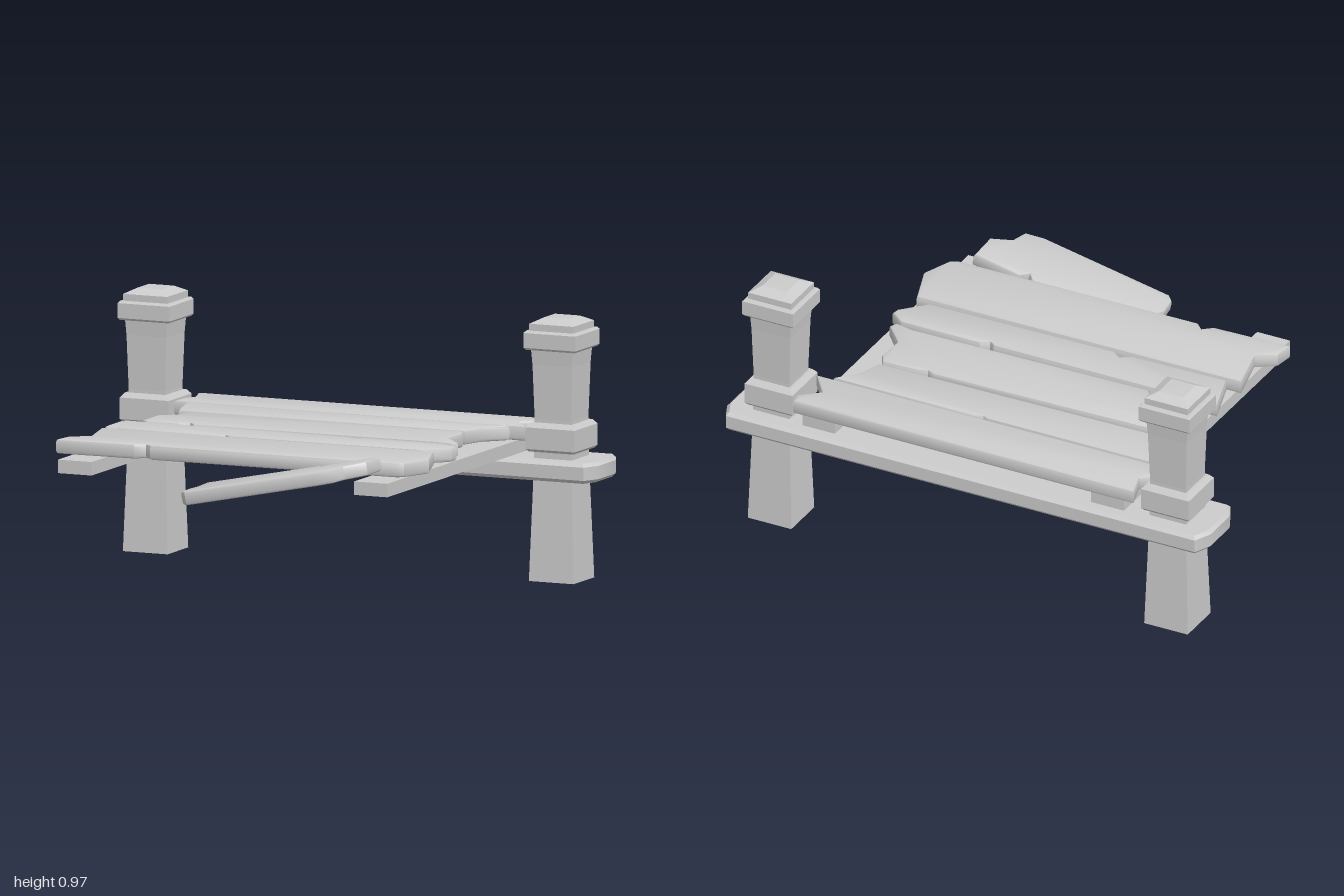
import * as THREE from 'three';
import { toCreasedNormals } from 'three/addons/utils/BufferGeometryUtils.js';

const smooth = new THREE.MeshStandardMaterial({ color: 0xcccccc });
const flat = new THREE.MeshStandardMaterial({ color: 0xcccccc, flatShading: true });

function add(parent, name, geometry, material = smooth) {
  const mesh = new THREE.Mesh(geometry, material);
  mesh.name = name;
  parent.add(mesh);
  return mesh;
}

// Lays an [x, z] outline flat as a slab with softened edges, between y = bottom and y = top.
function slab(outline, bottom, top, bevel, segments) {
  const shape = new THREE.Shape(outline.map(([x, z]) => new THREE.Vector2(x, z)));
  const geometry = new THREE.ExtrudeGeometry(shape, {
    depth: top - bottom - 2 * bevel,
    bevelThickness: bevel, bevelSize: bevel, bevelOffset: -bevel, bevelSegments: segments,
  });
  geometry.rotateX(Math.PI / 2).translate(0, top - bevel, 0);
  return toCreasedNormals(geometry, 0.6);
}

// Square solid from [half width, y] steps.
function squareTurned(profile) {
  const points = profile.map(([half, y]) => new THREE.Vector2(half * Math.SQRT2, y));
  return new THREE.LatheGeometry(points, 4).rotateY(Math.PI / 4).toNonIndexed();
}

const postParts = {
  shaft: [[0, 0], [0.09, 0], [0.077, 0.4], [0.074, 0.6], [0.077, 0.7], [0.08, 0.8], [0.085, 0.87], [0, 0.87]],
  collar: [[0, 0.48], [0.09, 0.48], [0.099, 0.49], [0.099, 0.57], [0.085, 0.587], [0, 0.587]],
  cap: [[0, 0.857], [0.098, 0.857], [0.105, 0.865], [0.105, 0.92], [0.098, 0.928], [0.089, 0.928],
    [0.089, 0.953], [0.05, 0.973], [0, 0.974]],
};

// Broken board outlines, [x, z], clockwise from the back left corner.
const boards = [
  [[-0.71, -0.74], [0.70, -0.74], [0.71, -0.69], [0.64, -0.63], [0.715, -0.53], [-0.71, -0.53], [-0.71, -0.61], [-0.68, -0.64]],
  [[-0.655, -0.52], [0.01, -0.52], [0.035, -0.51], [0.06, -0.52], [0.65, -0.52], [0.58, -0.44], [0.55, -0.35],
    [-0.60, -0.335], [-0.625, -0.40]],
  [[-0.545, -0.305], [0.34, -0.325], [0.37, -0.31], [0.40, -0.325], [0.545, -0.335], [0.57, -0.29], [0.565, -0.18], [0.645, -0.09],
    [0.63, -0.06], [0.56, -0.075], [-0.41, -0.06], [-0.44, -0.095], [-0.47, -0.06], [-0.60, -0.055], [-0.625, -0.08],
    [-0.625, -0.20], [-0.57, -0.24]],
  [[-0.685, -0.04], [0.24, -0.04], [0.265, -0.02], [0.295, -0.045], [0.62, -0.045], [0.68, 0], [0.675, 0.03],
    [0.59, 0.12], [-0.17, 0.13], [-0.205, 0.105], [-0.25, 0.13], [-0.63, 0.135]],
  [[-0.685, 0.15], [0.655, 0.14], [0.715, 0.31], [0.67, 0.43], [0.64, 0.445], [-0.345, 0.455], [-0.375, 0.425],
    [-0.41, 0.455], [-0.72, 0.465], [-0.71, 0.39], [-0.64, 0.34]],
];
const fallenBoard = [[-0.35, -0.135], [0.12, -0.135], [0.145, -0.105], [0.17, -0.14], [0.36, -0.14], [0.365, -0.01],
  [0.295, 0.04], [0.28, 0.11], [0.21, 0.13], [-0.315, 0.135], [-0.34, 0.11], [-0.35, 0.03], [-0.335, 0]];

export function createModel() {
  const model = new THREE.Group();
  model.name = 'brokenDock';

  // Posts
  for (const side of [-1, 1]) {
    const post = new THREE.Group();
    post.name = side > 0 ? 'leftPost' : 'rightPost';
    post.position.set(side * 0.82 - 0.002, 0, -0.612);
    for (const [name, profile] of Object.entries(postParts)) add(post, name, squareTurned(profile), flat);
    model.add(post);
  }

  // Cross beam with clipped corners
  const beam = [[-0.97, -0.757], [0.97, -0.757], [1, -0.69], [1, -0.54], [0.97, -0.477],
    [-0.97, -0.477], [-1, -0.54], [-1, -0.69]];
  add(model, 'crossBeam', slab(beam, 0.38, 0.455, 0.013, 1));

  // Rails under the boards
  for (const [name, x] of [['rightRail', -0.59], ['leftRail', 0.605]]) {
    add(model, name, new THREE.BoxGeometry(0.135, 0.05, 1.3)).position.set(x, 0.49, -0.07);
  }

  // Deck boards
  boards.forEach((outline, i) => add(model, 'deckBoard' + (i + 1), slab(outline, 0.516, 0.571, 0.011, 2)));

  // Loose board, one end dropped
  const fallen = add(model, 'fallenBoard', slab(fallenBoard, -0.026, 0.026, 0.01, 2));
  fallen.position.set(0.245, 0.498, 0.617);
  fallen.rotation.z = 0.2;

  return model;
}
